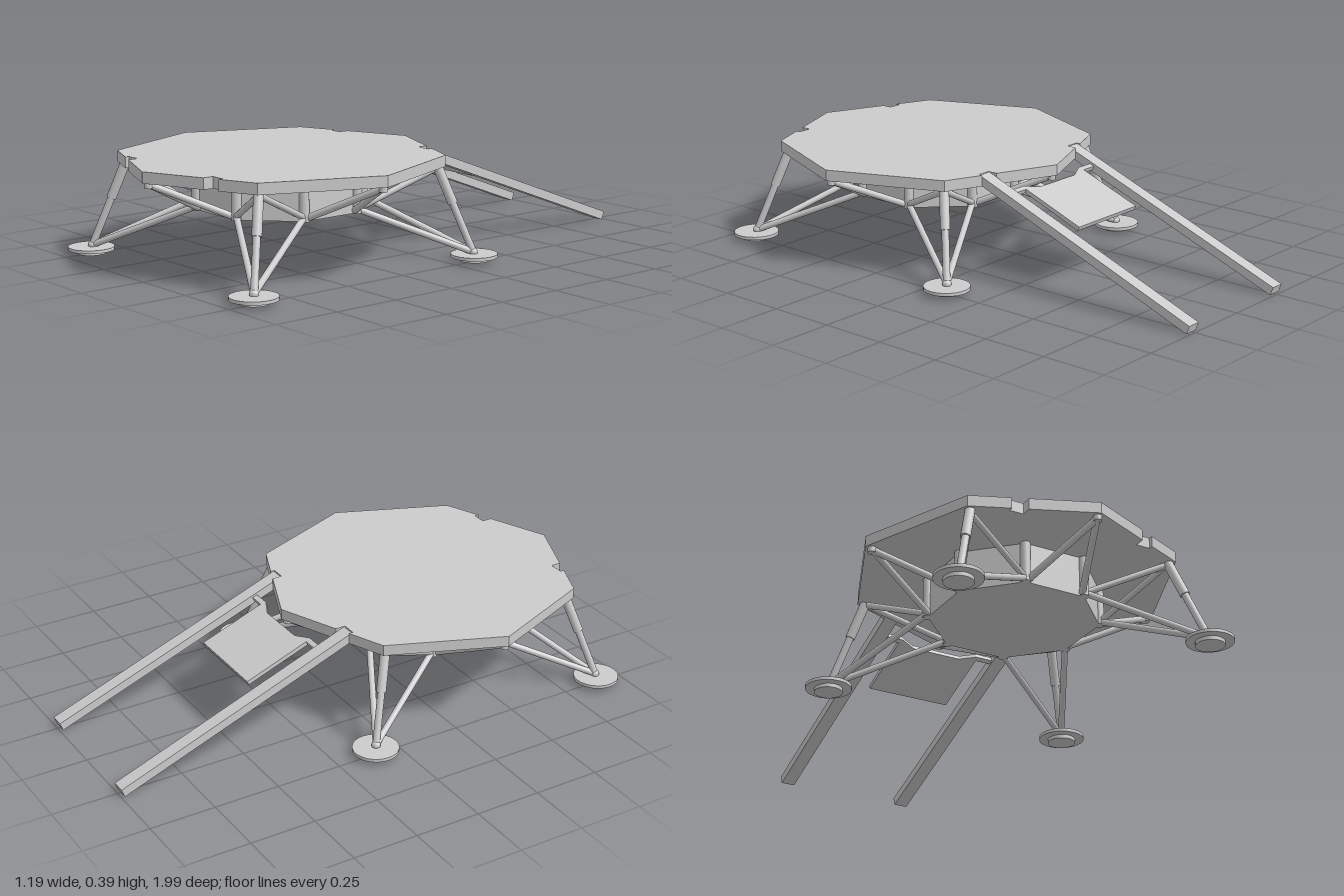
import * as THREE from 'three';

const smooth = new THREE.MeshStandardMaterial({ color: 0xcccccc });
const flat = new THREE.MeshStandardMaterial({ color: 0xcccccc, flatShading: true });
const V = (x, y, z) => new THREE.Vector3(x, y, z);

function add(parent, name, geometry, material = smooth) {
  const mesh = new THREE.Mesh(geometry, material);
  mesh.name = name;
  parent.add(mesh);
  return mesh;
}

// Round tube between two points
function strut(parent, name, a, b, radius) {
  const dir = b.clone().sub(a);
  const mesh = add(parent, name, new THREE.CylinderGeometry(radius, radius, dir.length(), 16));
  mesh.position.copy(a).lerp(b, 0.5);
  mesh.quaternion.setFromUnitVectors(V(0, 1, 0), dir.normalize());
  return mesh;
}

function disc(parent, name, radius, y0, y1, x = 0, z = 0) {
  const mesh = add(parent, name, new THREE.CylinderGeometry(radius, radius, y1 - y0, 32));
  mesh.position.set(x, (y0 + y1) / 2, z);
  return mesh;
}

const toShape = (pts) => new THREE.Shape(pts.map(([x, y]) => new THREE.Vector2(x, y)));
// Flat plate lying in x/z, with its top at y = 0
const plate = (pts, depth) =>
  new THREE.ExtrudeGeometry(toShape(pts), { depth, bevelEnabled: false }).rotateX(Math.PI / 2);

const DECK_R = 0.595, DECK_TOP = 0.387, DECK_BOTTOM = 0.346;
const BODY_R = 0.31, BODY_BOTTOM = 0.195;

// Octagonal deck with ramp notches front and back
function deckGeometry() {
  const d = DECK_R * Math.SQRT1_2;
  const edge = (x) => DECK_R - (x * (DECK_R - d)) / d;
  const quarter = [[DECK_R, 0], [d, d], [0.282, edge(0.282)], [0.282, 0.462],
    [0.228, 0.462], [0.228, edge(0.228)], [0, DECK_R]];
  const half = [...quarter, ...quarter.slice(0, -1).reverse().map(([x, y]) => [-x, y])];
  const back = half.slice(1, -1).reverse().map(([x, y]) => [x, -y]);
  return plate([...half, ...back], DECK_TOP - DECK_BOTTOM);
}

// One leg, built on the diagonal between +x and +z
function buildLeg() {
  const leg = new THREE.Group();
  leg.name = 'leg';
  const foot = V(0.492, 0.035, 0.492), top = V(0.4, 0.345, 0.4);
  const knee = top.clone().lerp(foot, 0.43);
  strut(leg, 'upperShock', top, knee, 0.018);
  strut(leg, 'lowerShock', knee, foot, 0.0135);
  const ball = add(leg, 'ankle', new THREE.SphereGeometry(0.017, 16, 12));
  ball.position.copy(foot);
  disc(leg, 'footPad', 0.085, 0.018, 0.03, 0.495, 0.495);
  disc(leg, 'footSole', 0.052, 0.004, 0.018, 0.495, 0.495);
  for (const [x, z] of [[0.125, 0.29], [0.29, 0.125]]) {
    strut(leg, 'legBrace', foot, V(x, 0.207, z), 0.012);
    strut(leg, 'deckBrace', V(x, 0.212, z), V(0.395, 0.338, 0.395), 0.0115);
  }
  return leg;
}

// Pair of braces holding up the deck corner on +z
function buildOutrigger() {
  const outrigger = new THREE.Group();
  outrigger.name = 'outrigger';
  for (const s of [-1, 1]) {
    strut(outrigger, 'outriggerBrace', V(s * 0.108, 0.207, 0.29), V(0, 0.338, 0.565), 0.0125);
  }
  disc(outrigger, 'cornerBracket', 0.015, 0.327, DECK_BOTTOM, 0, 0.57);
  return outrigger;
}

export function createModel() {
  const model = new THREE.Group();
  model.name = 'landingPlatform';

  const platform = new THREE.Group();
  platform.name = 'platform';
  platform.position.z = 0.4;
  model.add(platform);

  add(platform, 'deck', deckGeometry()).position.y = DECK_TOP;

  // Octagonal body with a post on each corner
  const height = DECK_BOTTOM - BODY_BOTTOM;
  const body = add(platform, 'body',
    new THREE.CylinderGeometry(BODY_R, BODY_R, height, 8, 1, false, Math.PI / 8), flat);
  body.position.y = BODY_BOTTOM + height / 2;
  for (let i = 0; i < 8; i++) {
    const a = (i + 0.5) * Math.PI / 4;
    disc(platform, 'cornerPost', 0.018, BODY_BOTTOM, DECK_BOTTOM, BODY_R * Math.sin(a), BODY_R * Math.cos(a));
  }

  for (let i = 0; i < 4; i++) {
    for (const part of [buildLeg(), buildOutrigger()]) {
      part.rotation.y = i * Math.PI / 2;
      platform.add(part);
    }
  }

  // Sloping ramps and the panel between them; local -z runs down the slope
  const ramps = new THREE.Group();
  ramps.name = 'rampAssembly';
  ramps.position.set(0, 0.37, -0.06);
  ramps.rotation.x = -Math.atan2(0.353, 0.932);
  model.add(ramps);
  for (const s of [-1, 1]) {
    add(ramps, 'ramp', new THREE.BoxGeometry(0.054, 0.033, 0.998)).position.set(s * 0.255, 0, -0.4985);
  }
  const side = [[0.1, -0.144], [0.16, -0.114], [0.23, -0.114], [0.23, -0.134], [0.167, -0.134], [0.167, -0.396]];
  const outline = [...side, ...side.slice().reverse().map(([x, z]) => [-x, z])];
  add(ramps, 'rampPanel', plate(outline, 0.016)).position.y = 0.008;

  return model;
}
